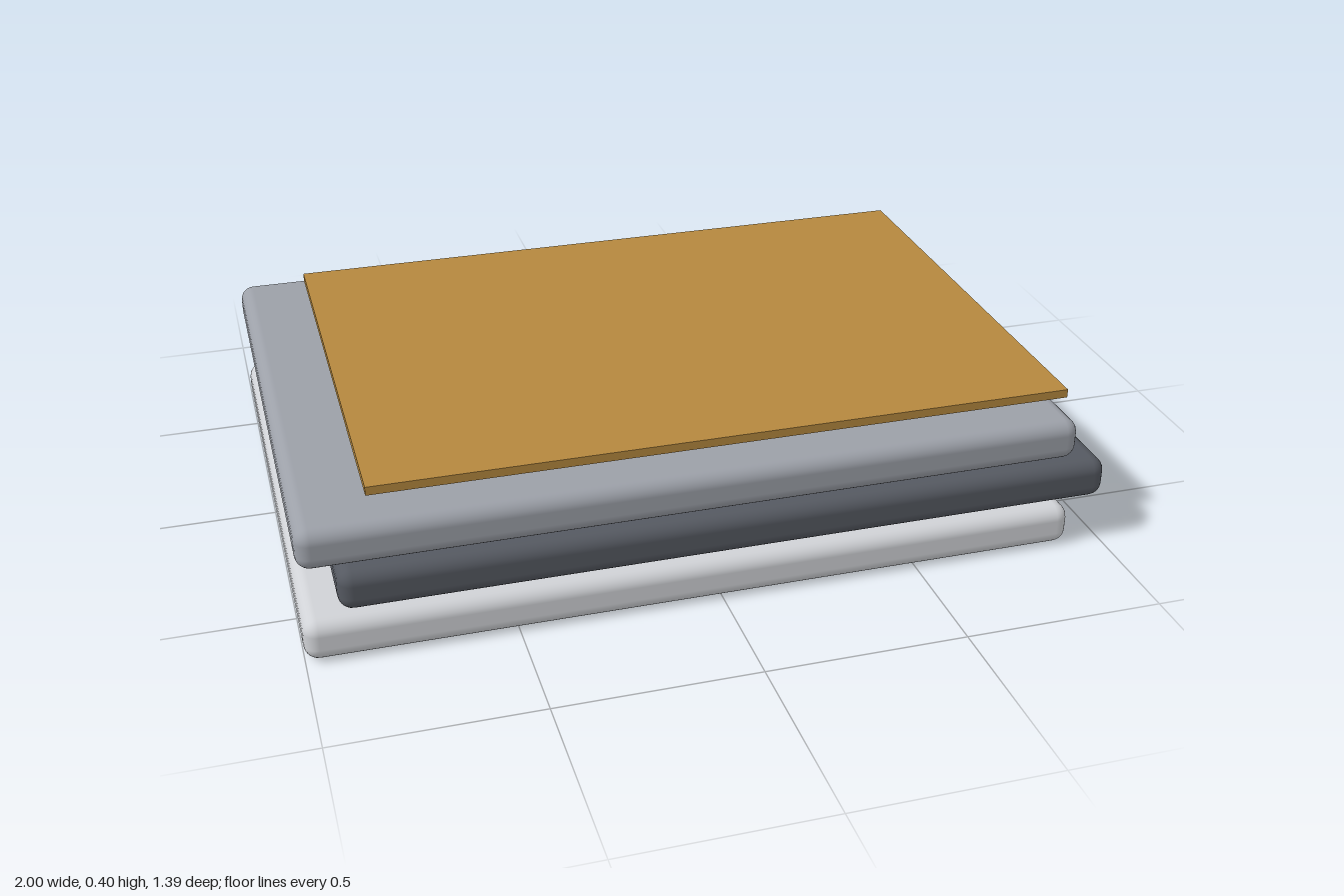
import * as THREE from 'three';
import { RoundedBoxGeometry } from 'three/addons/geometries/RoundedBoxGeometry.js';

// Design units: the staggered stack is 23 units wide
const U = 2 / 23;

export function createModel() {
  const model = new THREE.Group();
  model.name = 'layeredStack';

  const add = (name, geometry, color, x, y) => {
    const mesh = new THREE.Mesh(geometry, new THREE.MeshStandardMaterial({ color }));
    mesh.name = name;
    mesh.position.set(x * U, y * U, 0);
    model.add(mesh);
  };

  // Three rounded slabs, alternately shifted sideways
  const slab = new RoundedBoxGeometry(22 * U, 1.2 * U, 16 * U, 3, 0.4 * U);
  const slabs = [
    ['bottomSlab', 0xd0d2d6, -0.5],
    ['middleSlab', 0x555961, 0.5],
    ['topSlab', 0x9ca0a8, -0.5],
  ];
  slabs.forEach(([name, color, x], i) => add(name, slab, color, x, 0.6 + 1.4 * i));

  // Thin sharp-edged panel floating above the stack
  add('topPanel', new THREE.BoxGeometry(20 * U, 0.25 * U, 14 * U), 0xb5883e, 0.5, 4.425);

  return model;
}
